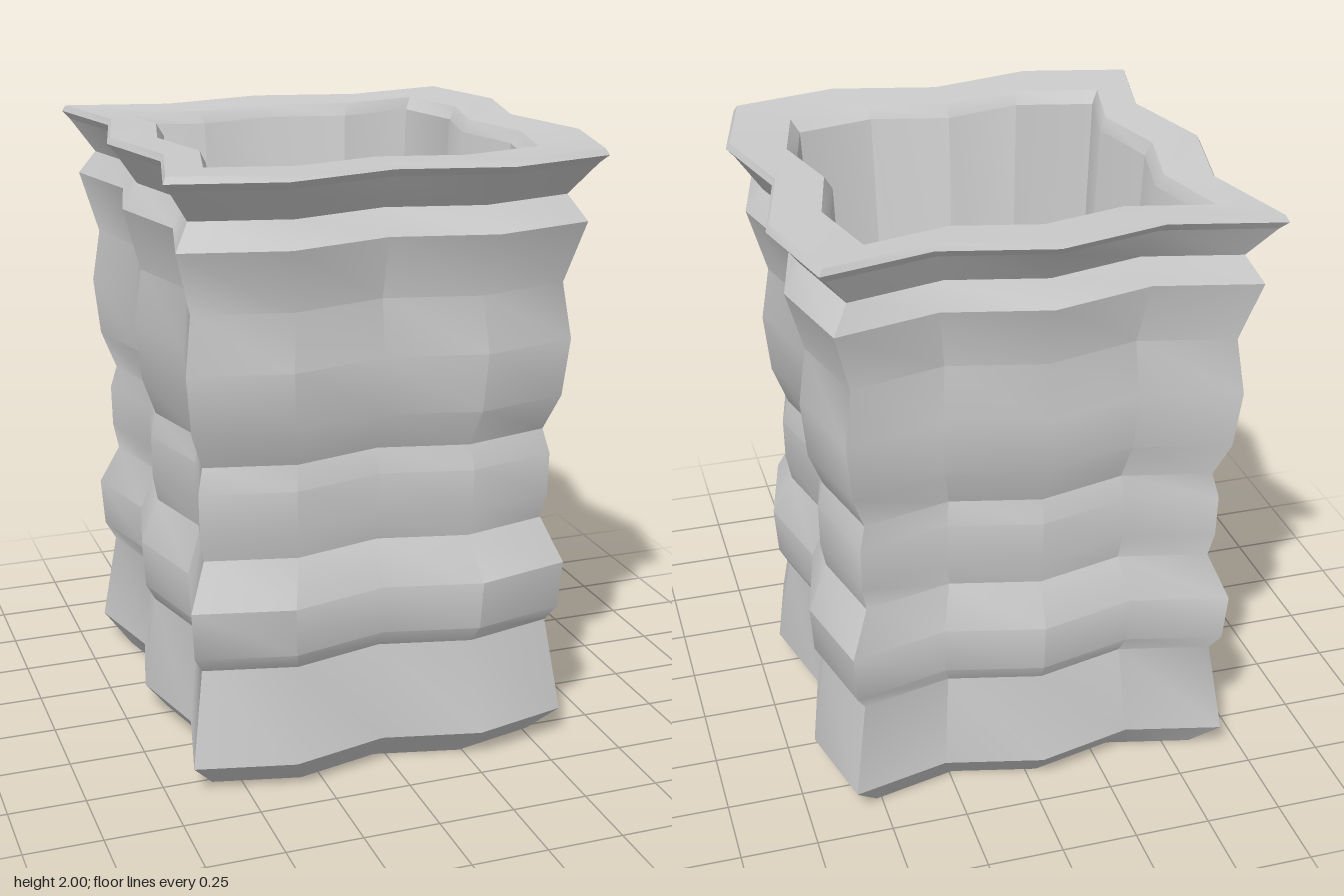
import * as THREE from 'three';
import { toCreasedNormals } from 'three/addons/utils/BufferGeometryUtils.js';

const GRID = [-1, -0.5, 0, 0.5, 1];
const SHIFT = -0.037;

// The 16 points around a square, in steps of a quarter side.
const perimeter = [];
for (let i = 0; i < 4; i++) perimeter.push([GRID[i], -1]);
for (let i = 0; i < 4; i++) perimeter.push([1, GRID[i]]);
for (let i = 4; i > 0; i--) perimeter.push([GRID[i], 1]);
for (let i = 4; i > 0; i--) perimeter.push([-1, GRID[i]]);

// A square ring whose sides ripple: x is pushed by z and z by x.
function ring([half, y]) {
  const wave = t => SHIFT + (Math.abs(Math.abs(t) - 0.5) < 0.01 ? 0.12 * half : 0);
  return perimeter.map(([u, v]) => half === 0
    ? [SHIFT, y, SHIFT]
    : [half * u + wave(v), y, half * v + wave(u)]);
}

// Skin a [half width, height] profile, leaving out collapsed triangles at the centre.
function loft(profile) {
  const rings = profile.map(ring);
  const pos = [];
  for (let r = 0; r < rings.length - 1; r++) {
    for (let i = 0; i < 16; i++) {
      const j = (i + 1) % 16;
      const a = rings[r][i], b = rings[r][j];
      const c = rings[r + 1][i], d = rings[r + 1][j];
      if (profile[r + 1][0] > 0) pos.push(...a, ...c, ...d);
      if (profile[r][0] > 0) pos.push(...a, ...d, ...b);
    }
  }
  const geo = new THREE.BufferGeometry();
  geo.setAttribute('position', new THREE.Float32BufferAttribute(pos, 3));
  return toCreasedNormals(geo, Math.PI / 6);
}

export function createModel() {
  const group = new THREE.Group();
  group.name = 'rippledPot';
  const material = new THREE.MeshStandardMaterial({ color: 0xcccccc });
  const add = (name, profile) => {
    const mesh = new THREE.Mesh(loft(profile), material);
    mesh.name = name;
    group.add(mesh);
  };

  // Underside, foot, bulging bands and flared neck
  add('outerBody', [
    [0, 0], [0.555, 0], [0.635, 0.1], [0.59, 0.415],
    [0.62, 0.47], [0.63, 0.63], [0.57, 0.775],
    [0.585, 0.86], [0.587, 1.0], [0.568, 1.08],
    [0.61, 1.2], [0.627, 1.39], [0.603, 1.57], [0.655, 1.77], [0.605, 1.85],
    [0.675, 1.955],
  ]);
  // Rim lip, flat on top
  add('rim', [[0.675, 1.955], [0.697, 1.98], [0.686, 2.0], [0.535, 1.99]]);
  // Hollow inside, tapering to the floor
  add('innerWall', [[0.535, 1.99], [0.51, 1.95], [0.425, 0.16], [0.4, 0.12], [0, 0.1]]);
  return group;
}
